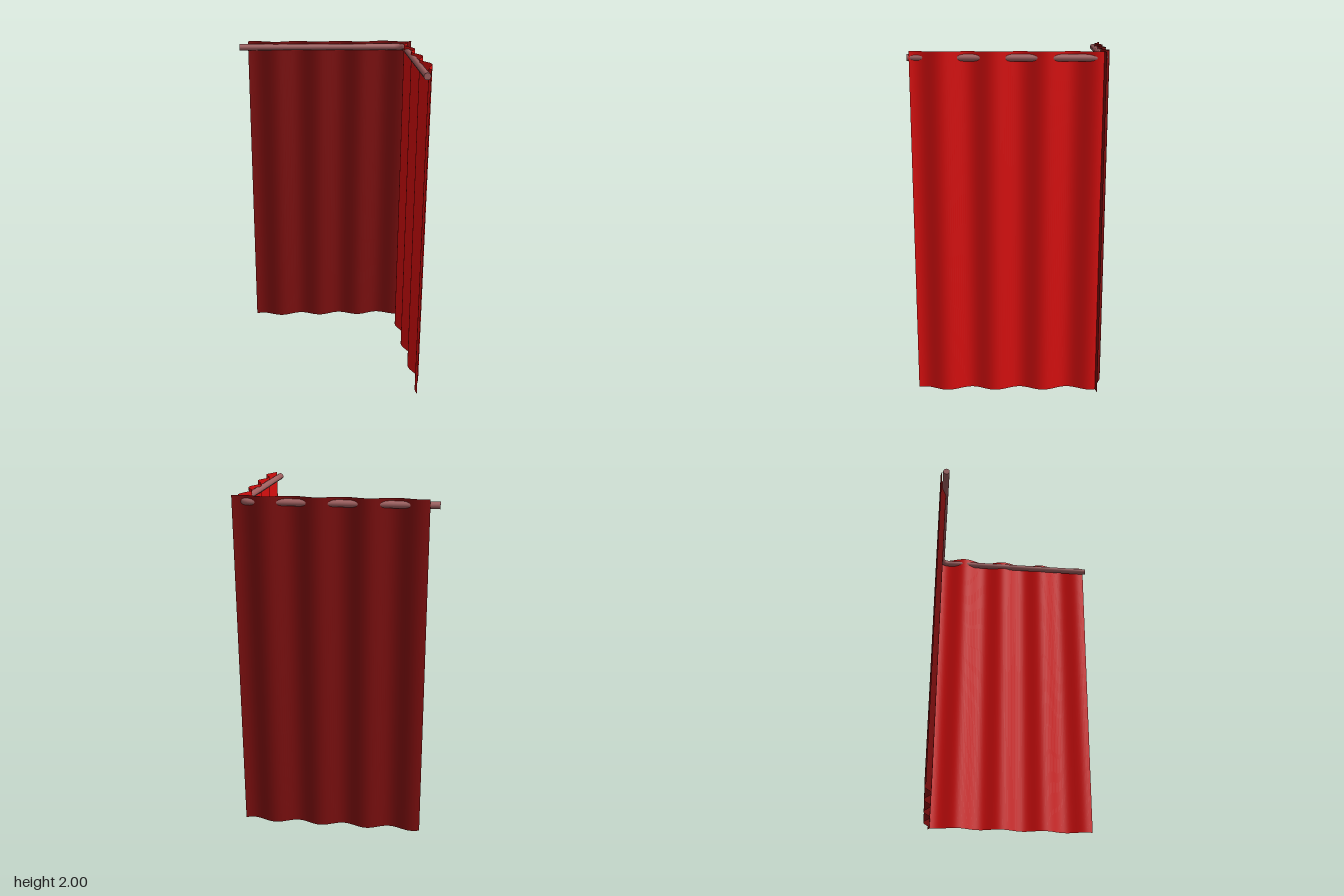
import * as THREE from 'three';

const HEIGHT = 2, ROD_Y = 1.965, ROD_R = 0.02;
const ROD_X = 0.512, ROD_Z = -0.52;

// Hanging sheet of cloth: a plane whose columns follow path(t) -> [x, z]
function makeCurtain(name, color, path) {
  const geo = new THREE.PlaneGeometry(1, HEIGHT, 96, 1);
  const pos = geo.attributes.position;
  for (let i = 0; i < pos.count; i++) {
    const [x, z] = path(pos.getX(i) + 0.5);
    pos.setXYZ(i, x, pos.getY(i) + HEIGHT / 2, z);
  }
  geo.computeVertexNormals();
  const mesh = new THREE.Mesh(geo, new THREE.MeshStandardMaterial({ color, side: THREE.DoubleSide }));
  mesh.name = name;
  return mesh;
}

// L-shaped rod with a rounded corner and closed ends
function makeRod() {
  const v = (x, z) => new THREE.Vector3(x, ROD_Y, z);
  const bend = 0.065;
  const start = v(-0.568, ROD_Z), end = v(ROD_X, 0.558);
  const a = v(ROD_X - bend, ROD_Z), b = v(ROD_X, ROD_Z + bend);
  const path = new THREE.CurvePath();
  path.add(new THREE.LineCurve3(start, a));
  path.add(new THREE.QuadraticBezierCurve3(a, v(ROD_X, ROD_Z), b));
  path.add(new THREE.LineCurve3(b, end));

  const material = new THREE.MeshStandardMaterial({ color: 0xa06060 });
  const rod = new THREE.Group();
  rod.name = 'curtainRod';
  const tube = new THREE.Mesh(new THREE.TubeGeometry(path, 120, ROD_R, 16), material);
  tube.name = 'rodTube';
  rod.add(tube);
  for (const [point, turn] of [[start, -Math.PI / 2], [end, 0]]) {
    const cap = new THREE.Mesh(new THREE.CircleGeometry(ROD_R, 16), material);
    cap.name = 'rodEnd';
    cap.position.copy(point);
    cap.rotation.y = turn;
    rod.add(cap);
  }
  return rod;
}

export function createModel() {
  const group = new THREE.Group();
  group.name = 'cornerCurtain';
  const lerp = THREE.MathUtils.lerp;

  // Back curtain: folds along x, weaving just behind the rod
  group.add(makeCurtain('backCurtain', 0x7a0e0e, (t) => {
    const x = lerp(-0.515, 0.56, t);
    return [x, -0.535 + 0.02 * Math.cos((2 * Math.PI * (x + 0.05)) / 0.28)];
  }));

  // Side curtain: folds along z, drifting slightly outward to the front
  group.add(makeCurtain('sideCurtain', 0xd80e0e, (t) => {
    const z = lerp(0.545, -0.515, t);
    const fold = 0.022 * Math.cos((2 * Math.PI * (z + 0.06)) / 0.285);
    return [0.527 + 0.04 * z - fold, z];
  }));

  group.add(makeRod());
  return group;
}
